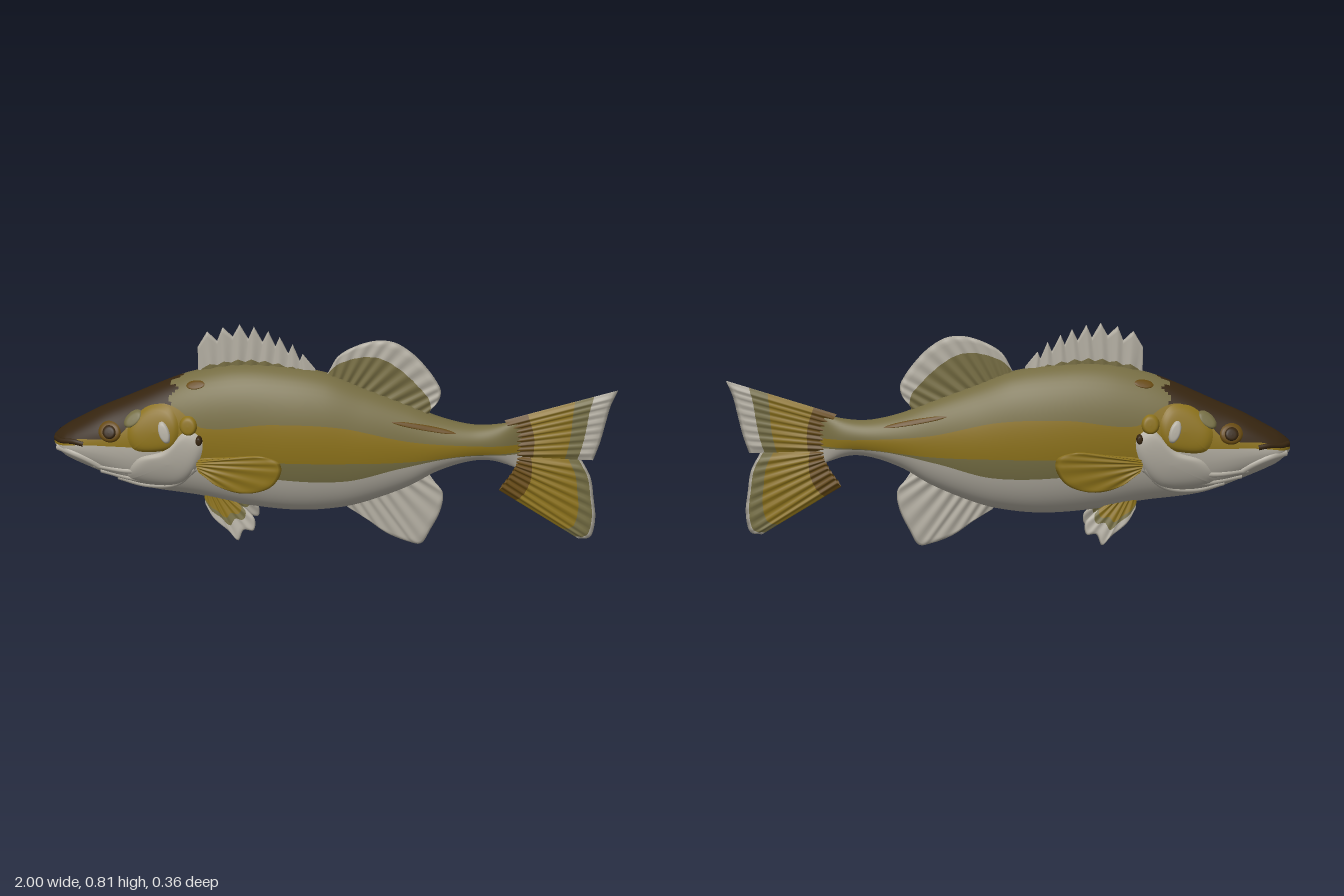
import * as THREE from 'three';

const mat = (name, color) => new THREE.MeshStandardMaterial({ name, color, side: THREE.DoubleSide });

// Smooth function through a short table of [x, value]
function curve(p) {
  const slope = i => {
    const a = p[Math.max(0, i - 1)], b = p[Math.min(p.length - 1, i + 1)];
    return (b[1] - a[1]) / (b[0] - a[0]);
  };
  return x => {
    let i = 0;
    while (i < p.length - 2 && x > p[i + 1][0]) i++;
    const d = p[i + 1][0] - p[i][0], t = Math.min(1, Math.max(0, (x - p[i][0]) / d));
    const t2 = t * t, t3 = t2 * t;
    return (2 * t3 - 3 * t2 + 1) * p[i][1] + (t3 - 2 * t2 + t) * d * slope(i)
      + (3 * t2 - 2 * t3) * p[i + 1][1] + (t3 - t2) * d * slope(i + 1);
  };
}

// Body profile: back, belly and half width along the length
const backY = curve([[-1, .40], [-.95, .425], [-.83, .49], [-.74, .53], [-.56, .61], [-.47, .64], [-.34, .665], [-.2, .665],
  [-.015, .64], [.12, .59], [.28, .53], [.38, .49], [.49, .465], [.57, .467], [.68, .49]]);
const bellyY = curve([[-1, .34], [-.93, .30], [-.82, .25], [-.71, .207], [-.63, .19], [-.47, .17], [-.31, .14], [-.12, .125],
  [.035, .14], [.14, .17], [.28, .23], [.38, .29], [.49, .33], [.57, .335], [.68, .30]]);
const halfW = curve([[-1, .065], [-.9, .1], [-.7, .12], [-.5, .131], [-.3, .14], [-.1, .14], [.1, .12],
  [.3, .087], [.5, .056], [.6, .04], [.68, .004]]);
// Heights of the colour bands on the flank
const bands = [
  curve([[-1, .355], [-.9, .36], [-.7, .33], [-.45, .32], [-.18, .285], [.06, .28], [.25, .325], [.45, .362], [.68, .365]]),
  curve([[-1, .362], [-.9, .38], [-.8, .385], [-.6, .38], [-.44, .34], [-.2, .35], [0, .35], [.28, .35], [.5, .368], [.68, .372]]),
  curve([[-1, .37], [-.9, .40], [-.75, .42], [-.68, .49], [-.6, .54], [-.53, .53], [-.44, .47], [-.2, .49], [.035, .48],
    [.28, .425], [.49, .405], [.68, .40]]),
];
function section(x) {
  const r = Math.sqrt(Math.max(0, 1 - (1 - Math.min(1, (x + 1) / .06)) ** 2));
  const top = backY(x), low = bellyY(x);
  return { mid: (top + low) / 2, h: (top - low) / 2 * (.35 + .65 * r), w: halfW(x) * r };
}
function bodyZ(x, y) {
  const { mid, h, w } = section(x);
  return w * Math.sqrt(Math.max(0, 1 - ((y - mid) / h) ** 2));
}

// Grid surface with one material per face, chosen by rule
function grid(name, nu, nv, point, mats, pick, flip = false) {
  const pos = [], faces = mats.map(() => []), g = new THREE.BufferGeometry();
  for (let i = 0; i <= nu; i++) for (let j = 0; j <= nv; j++) pos.push(...point(i, j));
  for (let i = 0; i < nu; i++) for (let j = 0; j < nv; j++) {
    const a = i * (nv + 1) + j, b = a + nv + 1, f = faces[pick(i, j)];
    if (flip) f.push(a, b + 1, b, a, a + 1, b + 1);
    else f.push(a, b, b + 1, a, b + 1, a + 1);
  }
  let start = 0;
  faces.forEach((f, k) => { g.addGroup(start, f.length, k); start += f.length; });
  g.setAttribute('position', new THREE.Float32BufferAttribute(pos, 3));
  g.setIndex(faces.flat());
  g.computeVertexNormals();
  const m = new THREE.Mesh(g, mats);
  m.name = name;
  return m;
}

// Closed thin fin between a root line and a tip line, with coloured bands from root to tip
function fin(name, root, tip, stops, mats, { thick = .009, rays = 10, lean = () => 0, jagged = false } = {}) {
  const v = p => new THREE.Vector3(p[0], p[1], 0);
  const rc = new THREE.CatmullRomCurve3(root.map(v)), tc = new THREE.CatmullRomCurve3(tip.map(v));
  const nu = (tip.length - 1) * 8, nt = 24;
  const tipAt = u => {
    if (!jagged) return tc.getPoint(u);
    const f = u * (tip.length - 1), i = Math.min(tip.length - 2, Math.floor(f));
    return v(tip[i]).lerp(v(tip[i + 1]), f - i);
  };
  const along = rc.getPoint(1).sub(rc.getPoint(0)), out = tc.getPoint(.5).sub(rc.getPoint(.5));
  const point = (i, j) => {
    const u = i / nu, t = (j <= nt ? j : 2 * nt - j) / nt;
    const p = rc.getPoint(u).lerp(tipAt(u), t);
    const edge = Math.min(1, u * 12, (1 - u) * 12) * Math.min(1, (1 - t) * 16);
    const z = thick * (1 - .45 * t) * (.72 + .28 * Math.cos(u * rays * Math.PI * 2)) * edge;
    return [p.x, p.y, lean(p.x, p.y) + (j <= nt ? z : -z)];
  };
  const pick = (i, j) => {
    const t = (j < nt ? j + .5 : 2 * nt - j - .5) / nt, k = stops.findIndex(s => t < s);
    return k < 0 ? stops.length : k;
  };
  return grid(name, nu, nt * 2, point, mats, pick, along.x * out.y - along.y * out.x < 0);
}

// Raised patch that follows the body skin; outline runs counterclockwise
function patch(name, outline, lift, material, s) {
  const c = new THREE.CatmullRomCurve3(outline.map(p => new THREE.Vector3(p[0], p[1], 0)), true);
  const mid = outline.reduce((a, p) => [a[0] + p[0] / outline.length, a[1] + p[1] / outline.length], [0, 0]);
  return grid(name, 48, 10, (i, j) => {
    const p = c.getPoint((i % 48) / 48), r = j / 10;
    const x = mid[0] + (p.x - mid[0]) * r, y = mid[1] + (p.y - mid[1]) * r;
    return [x, y, s * (bodyZ(x, y) + lift * (1 - r ** 8) - .001 * r)];
  }, [material], () => 0, s > 0);
}
const oval = (x, y, rx, ry, tilt = 0) => Array.from({ length: 10 }, (_, i) => {
  const a = i / 10 * Math.PI * 2, p = Math.cos(a) * rx, q = Math.sin(a) * ry;
  return [x + p * Math.cos(tilt) - q * Math.sin(tilt), y + p * Math.sin(tilt) + q * Math.cos(tilt)];
});

// Rounded fold lying on the skin
function fold(name, pts, radius, material, s) {
  const c = new THREE.CatmullRomCurve3(pts.map(([x, y]) => new THREE.Vector3(x, y, s * (bodyZ(x, y) - radius * .35))));
  const m = new THREE.Mesh(new THREE.TubeGeometry(c, 30, radius, 8), material);
  m.name = name;
  return m;
}

export function createModel() {
  const fish = new THREE.Group();
  fish.name = 'fish';
  const olive = mat('olive back', 0x756c42), gold = mat('gold', 0x8a7019), white = mat('pale belly', 0xb2ada1);
  const dark = mat('dark head', 0x35240f), brown = mat('brown', 0x65480f), moss = mat('moss', 0x736c42);

  // Body: rings whose rows follow the colour bands
  const rows = [];
  [12, 4, 6, 12].forEach((n, b) => { for (let k = 0; k < n; k++) rows.push([b, k / n]); });
  rows.push([3, 1]);
  const N = rows.length - 1, nx = 150, xAt = i => -1 + 1.68 * (i / nx) ** 1.25;
  fish.add(grid('body', nx, N * 2, (i, j) => {
    const x = xAt(i), { mid, h, w } = section(x), [b, f] = rows[j <= N ? j : 2 * N - j];
    const cut = bands.map(c => Math.asin(Math.max(-.97, Math.min(.97, (c(x) - mid) / h))));
    const a = [-Math.PI / 2, ...cut, Math.PI / 2], t = a[b] + (a[b + 1] - a[b]) * f;
    return [x, mid + h * Math.sin(t), (j <= N ? 1 : -1) * w * Math.cos(t)];
  }, [white, moss, gold, olive, dark], (i, j) => {
    const x = xAt(i), row = j < N ? j : 2 * N - 1 - j, b = rows[row][0];
    if (b === 3) return x < -.555 + .03 * Math.sin(row) * (row < N - 3 ? .5 : 1) ? 4 : 3;
    return b === 1 && x < -.46 ? 0 : b;
  }));

  // Spiny front dorsal fin
  fish.add(fin('spinyDorsalFin', [[-.47, .62], [-.27, .65], [-.06, .63]],
    [[-.47, .665], [-.47, .725], [-.435, .783], [-.40, .75], [-.38, .80], [-.345, .767], [-.32, .812], [-.29, .76], [-.27, .805],
      [-.24, .75], [-.22, .79], [-.195, .735], [-.18, .77], [-.15, .71], [-.135, .745], [-.11, .685], [-.10, .71], [-.055, .655]],
    [.25], [olive, white], { thick: .013, rays: 8.5, jagged: true }));
  // Soft rear dorsal fin
  fish.add(fin('softDorsalFin', [[-.03, .61], [.12, .57], [.35, .47]],
    [[-.01, .645], [.025, .705], [.09, .745], [.16, .765], [.22, .76], [.28, .725], [.33, .675], [.37, .62], [.385, .585], [.375, .545], [.34, .51]],
    [.66], [olive, white], { thick: .013, rays: 12 }));
  // Anal fin
  fish.add(fin('analFin', [[.04, .16], [.18, .21], [.34, .29]],
    [[.06, .135], [.13, .09], [.2, .04], [.28, .008], [.325, .002], [.36, .06], [.395, .14], [.40, .205], [.37, .245]],
    [], [white], { thick: .013, rays: 9 }));
  // Tail lobes
  fish.add(fin('upperTailLobe', [[.61, .485], [.65, .42], [.66, .345]],
    [[.997, .607], [.975, .55], [.96, .48], [.945, .41], [.925, .345]],
    [.2, .64, .8], [brown, gold, moss, white], { thick: .016, rays: 9 }));
  fish.add(fin('lowerTailLobe', [[.66, .36], [.65, .3], [.60, .22]],
    [[.885, .345], [.92, .28], [.935, .2], [.945, .12], [.93, .05], [.89, .042]],
    [.19, .78, .95], [brown, gold, moss, white], { thick: .016, rays: 9 }));

  for (const s of [1, -1]) {
    const side = s > 0 ? 'left' : 'right';
    const half = new THREE.Group();
    half.name = side + 'Side';
    // Paired fins
    half.add(fin('pectoralFin', [[-.46, .355], [-.465, .33], [-.455, .30]],
      [[-.43, .36], [-.33, .372], [-.23, .385], [-.165, .365], [-.16, .33], [-.2, .27], [-.3, .238], [-.4, .262], [-.435, .30]],
      [], [gold], { thick: .009, rays: 8, lean: x => s * (.127 + (x + .46) * .165) }));
    half.add(fin('pelvicFin', [[-.455, .19], [-.41, .185], [-.35, .17]],
      [[-.45, .15], [-.42, .10], [-.365, .055], [-.33, .022], [-.31, .06], [-.275, .06], [-.27, .10], [-.30, .135]],
      [.5, .66], [gold, moss, white], { thick: .009, rays: 6, lean: (x, y) => s * (.078 - y * .19) }));
    // Gill cover and cheek
    half.add(patch('gillCover', [[-.72, .25], [-.62, .225], [-.53, .24], [-.46, .33], [-.44, .425], [-.49, .46], [-.58, .38], [-.68, .34]], .014, white, s));
    half.add(patch('cheek', [[-.69, .38], [-.6, .375], [-.54, .40], [-.525, .48], [-.56, .535], [-.64, .53], [-.71, .45]], .012, gold, s));
    half.add(patch('cheekPaleSpot', oval(-.575, .45, .022, .045, .3), .02, white, s));
    half.add(patch('cheekMossSpot', oval(-.69, .485, .04, .022, .7), .012, moss, s));
    half.add(patch('gillCoverTip', oval(-.49, .475, .032, .035), .015, gold, s));
    half.add(patch('gillSpot', oval(-.452, .425, .012, .018), .02, dark, s));
    // Folds of the gill and jaw
    [[[-.84, .30], [-.7, .29], [-.57, .33], [-.46, .42]],
      [[-.82, .275], [-.68, .255], [-.55, .285], [-.46, .37]],
      [[-.76, .25], [-.66, .225], [-.55, .24], [-.47, .315]]].forEach(p => half.add(fold('gillFold', p, .011, white, s)));
    half.add(fold('upperJaw', [[-.975, .355], [-.92, .35], [-.86, .325], [-.82, .30]], .013, white, s));
    half.add(fold('upperLip', [[-.985, .385], [-.96, .385], [-.91, .39], [-.87, .385]], .01, dark, s));
    // Eye
    half.add(patch('eyeRing', oval(-.775, .435, .042, .036), .009, brown, s));
    half.add(patch('eye', oval(-.775, .437, .027, .025), .016, dark, s));
    // Back markings
    half.add(patch('shoulderMark', oval(-.47, .607, .035, .013, .15), .004, brown, s));
    half.add(patch('tailStreak', oval(.33, .47, .12, .009, -.2), .003, brown, s));
    fish.add(half);
  }
  return fish;
}
